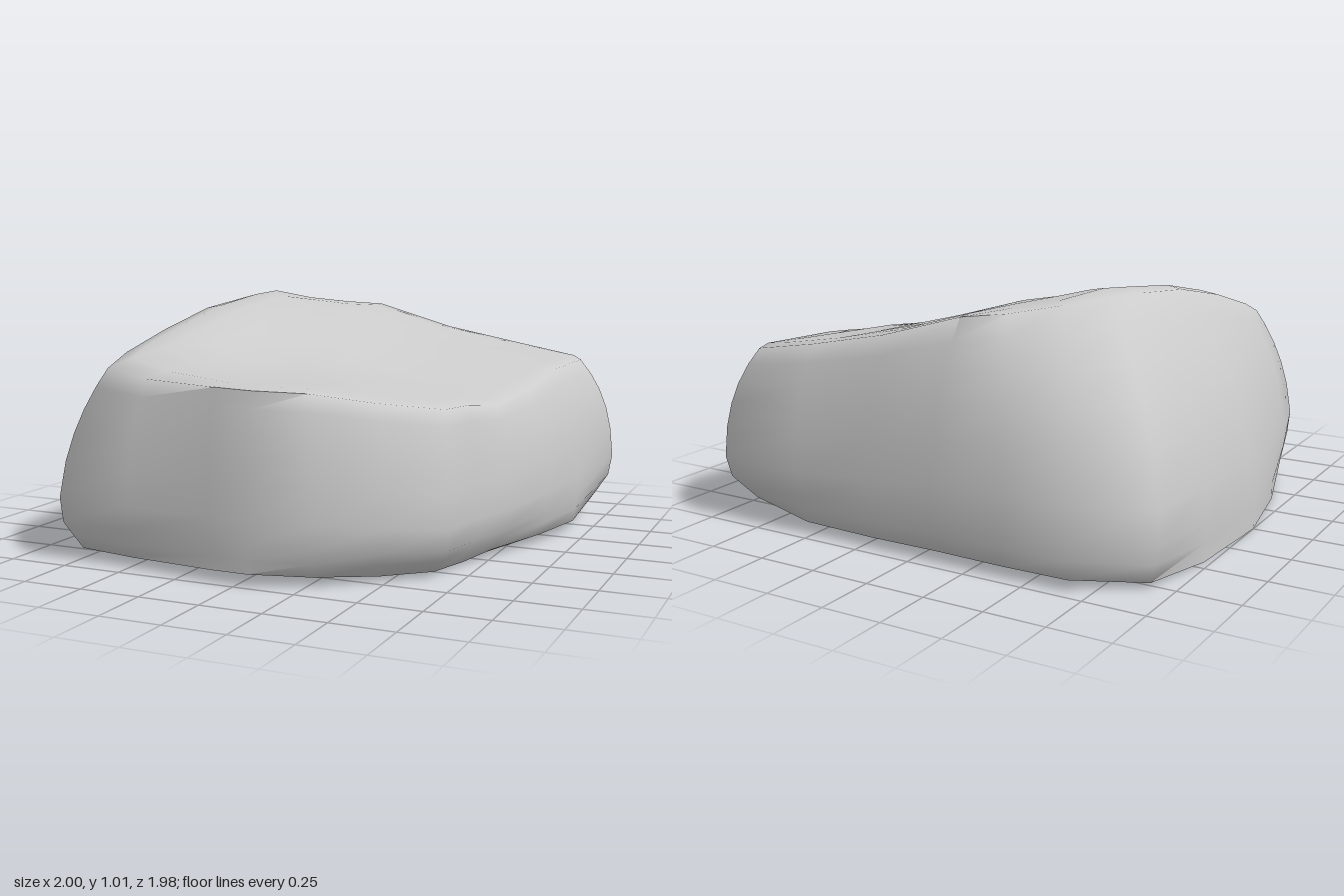
import * as THREE from 'three';
import { toCreasedNormals } from 'three/addons/utils/BufferGeometryUtils.js';

// Stations around the boulder: [base x, base z, rim x, rim z, undercut at the foot]
const STATIONS = [
  [-0.82, 0.94, -0.7, 0.74, 0.08], [-0.5, 0.945, -0.45, 0.86, 0.03], [-0.1, 0.985, -0.1, 0.94, 0.01],
  [0.05, 0.99, 0.06, 0.95, 0.01], [0.3, 0.955, 0.26, 0.89, 0.06], [0.52, 0.79, 0.46, 0.74, 0.1],
  [0.72, 0.63, 0.67, 0.57, 0.13], [0.75, 0.4, 0.7, 0.38, 0.09], [0.83, 0.22, 0.76, 0.2, 0.1],
  [0.9, -0.1, 0.8, -0.1, 0.04], [0.95, -0.4, 0.83, -0.4, 0.02], [1, -0.86, 0.86, -0.76, 0.08],
  [0.91, -0.995, 0.8, -0.88, 0.09], [0.55, -0.985, 0.5, -0.9, 0.04], [0.2, -0.975, 0.18, -0.88, 0.02],
  [-0.1, -0.985, -0.17, -0.87, 0.03], [-0.4, -0.98, -0.32, -0.79, 0.02], [-0.68, -0.97, -0.47, -0.65, 0.02],
  [-0.97, -0.83, -0.6, -0.5, 0.06], [-0.985, -0.45, -0.64, -0.34, 0.01], [-1, 0, -0.66, 0, 0],
  [-0.93, 0.4, -0.67, 0.35, 0], [-0.86, 0.75, -0.7, 0.6, 0.03],
];

// Coarse height grid of the sloping top: rows along z, columns along x
const GX = [-0.68, -0.55, -0.2, 0.25, 0.82];
const GZ = [-0.88, -0.42, 0.1, 0.5, 0.96];
const HEIGHTS = [
  [0.93, 0.95, 0.95, 0.82, 0.72],
  [0.99, 1.02, 0.94, 0.81, 0.71],
  [0.95, 0.96, 0.84, 0.72, 0.61],
  [0.85, 0.86, 0.76, 0.72, 0.63],
  [0.68, 0.71, 0.74, 0.73, 0.6],
];

const { lerp: mix, smoothstep } = THREE.MathUtils;

function locate(knots, v) {
  let i = 0;
  while (i < knots.length - 2 && v > knots[i + 1]) i++;
  return [i, THREE.MathUtils.clamp((v - knots[i]) / (knots[i + 1] - knots[i]), 0, 1)];
}

function topHeight(x, z) {
  const [i, u] = locate(GX, x);
  const [j, v] = locate(GZ, z);
  const row = (r) => mix(HEIGHTS[r][i], HEIGHTS[r][i + 1], u);
  return mix(row(j), row(j + 1), v);
}

// The underside lifts towards the front, the back and the left edge
const baseHeight = (x, z) => 0.05 * Math.abs(z) ** 4 + 0.04 * smoothstep(x, 0.66, 0.9);

function boulderGeometry() {
  const rings = [];
  // flanks: tucked in at the foot, steep, then rounding inwards to the rim
  for (const t of [0, 0.08, 0.16, 0.3, 0.5, 0.65, 0.78, 0.9, 1]) {
    rings.push(STATIONS.map(([bx, bz, rx, rz, undercut]) => {
      const k = t ** (2.9 + 0.5 * bx);
      const s = 1 - undercut * Math.max(0, 1 - t / 0.2);
      return [
        mix(bx, rx, k) * s,
        mix(baseHeight(bx, bz), topHeight(rx, rz) - 0.005, t),
        mix(bz, rz, k) * s,
      ];
    }));
  }
  // underside, from the centre outwards to the foot
  const foot = rings[0];
  const under = [0, 0.4, 0.75, 0.92].map((s) =>
    foot.map(([x, , z]) => [x * s, baseHeight(x * s, z * s), z * s]));
  rings.unshift(...under);
  // top, from the rim to the centre
  for (const s of [0.9, 0.75, 0.55, 0.35, 0.17, 0]) {
    rings.push(STATIONS.map(([, , x, z]) => [x * s, topHeight(x * s, z * s), z * s]));
  }

  const n = STATIONS.length;
  const last = rings.length - 1;
  const index = [];
  for (let j = 0; j < last; j++) {
    for (let i = 0; i < n; i++) {
      const a = j * n + i, b = j * n + ((i + 1) % n);
      if (j > 0) index.push(a, b, b + n);
      if (j < last - 1) index.push(a, b + n, a + n);
    }
  }
  const geometry = new THREE.BufferGeometry();
  geometry.setAttribute('position', new THREE.Float32BufferAttribute(rings.flat(2), 3));
  geometry.setIndex(index);
  return toCreasedNormals(geometry, 1.3);
}

export function createModel() {
  const model = new THREE.Group();
  model.name = 'rock';
  const boulder = new THREE.Mesh(
    boulderGeometry(),
    new THREE.MeshStandardMaterial({ color: 0xcccccc }),
  );
  boulder.name = 'boulder';
  model.add(boulder);
  return model;
}
